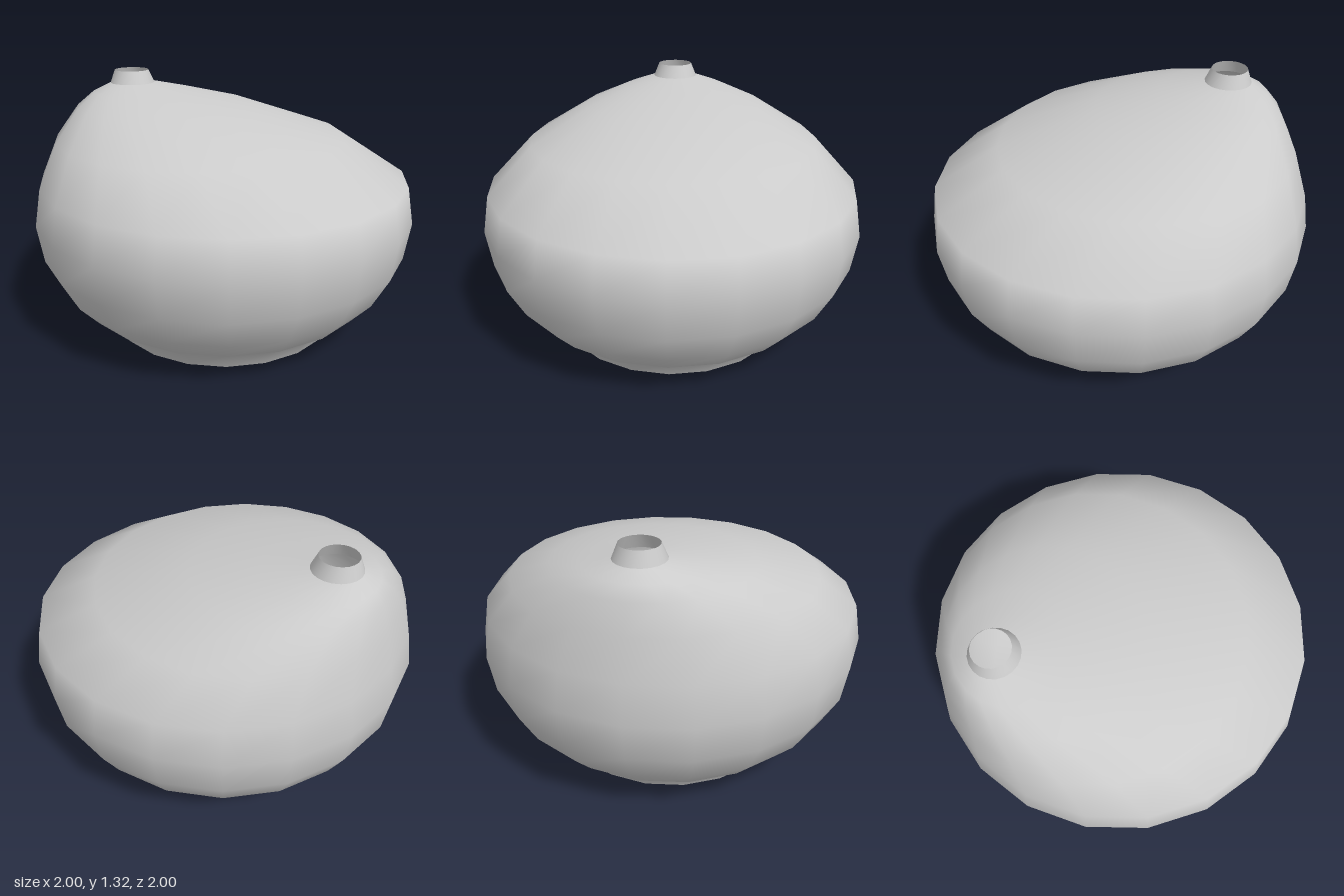
import * as THREE from 'three';

const SIDES = 20;
const material = new THREE.MeshStandardMaterial({ color: 0xcccccc, side: THREE.DoubleSide });

// Skin a stack of horizontal rings, each given as [height, radius, centre x]
function loftRings(rings) {
  const positions = [], index = [];
  rings.forEach(([y, r, cx], k) => {
    for (let i = 0; i < SIDES; i++) {
      const a = (i / SIDES) * Math.PI * 2;
      positions.push(cx + r * Math.cos(a), y, r * Math.sin(a));
      if (k === rings.length - 1) continue;
      const p = k * SIDES + i, q = k * SIDES + ((i + 1) % SIDES);
      index.push(p, p + SIDES, q, q, p + SIDES, q + SIDES);
    }
  });
  const geometry = new THREE.BufferGeometry();
  geometry.setAttribute('position', new THREE.Float32BufferAttribute(positions, 3));
  geometry.setIndex(index);
  geometry.computeVertexNormals();
  return geometry;
}

export function createModel() {
  const group = new THREE.Group();
  group.name = 'vessel';
  const add = (name, geometry) => {
    const mesh = new THREE.Mesh(geometry, material);
    mesh.name = name;
    group.add(mesh);
    return mesh;
  };

  // Round body on a flared foot, its shoulder sheared towards the spout
  add('body', loftRings([
    [0, 0.62, 0],
    [0.09, 0.67, 0],
    [0.16, 0.785, 0],
    [0.27, 0.885, 0],
    [0.43, 0.97, 0],
    [0.625, 1, 0],
    [0.815, 0.967, 0],
    [1.01, 0.772, -0.15],
    [1.145, 0.487, -0.388],
    [1.205, 0.285, -0.545],
    [1.245, 0.124, -0.632],
  ]));

  // Open tapered spout
  add('spout', loftRings([
    [1.245, 0.124, -0.632],
    [1.315, 0.095, -0.636],
  ]));

  // Flat base
  add('base', new THREE.CircleGeometry(0.62, SIDES)).rotation.x = Math.PI / 2;

  return group;
}
